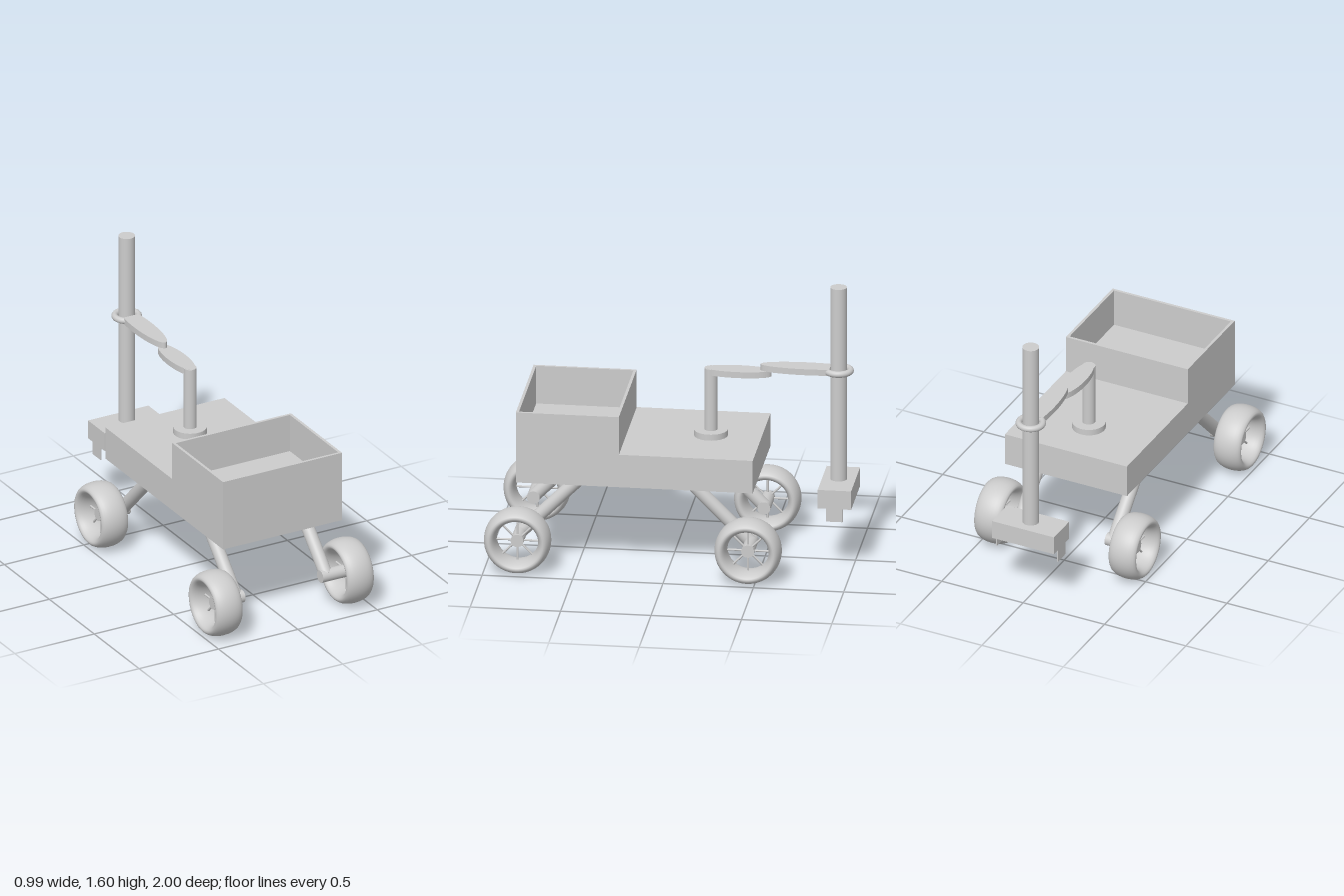
import * as THREE from 'three';

export function createModel() {
  const root = new THREE.Group();
  const grey = new THREE.MeshStandardMaterial({ color: 0xcccccc });
  grey.name = 'light grey';

  const add = (parent, name, geometry, x = 0, y = 0, z = 0) => {
    const mesh = new THREE.Mesh(geometry, grey);
    mesh.name = name;
    mesh.position.set(x, y, z);
    parent.add(mesh);
    return mesh;
  };
  // Box given by its limits on each axis
  const box = (parent, name, x0, x1, y0, y1, z0, z1) => add(parent, name,
    new THREE.BoxGeometry(x1 - x0, y1 - y0, z1 - z0), (x0 + x1) / 2, (y0 + y1) / 2, (z0 + z1) / 2);
  // Upright cylinder given by its bottom and top
  const post = (parent, name, r, y0, y1, z) => add(parent, name,
    new THREE.CylinderGeometry(r, r, y1 - y0, 40), 0, (y0 + y1) / 2, z);

  // Chassis with an open cargo bin at the front
  const W = 0.375, wall = 0.016;
  box(root, 'chassis', -W, W, 0.51, 0.70, -0.48, 0.83);
  const bin = new THREE.Group();
  bin.name = 'cargoBin';
  root.add(bin);
  const rect = (P, x, z0, z1) => {
    const p = new P();
    p.moveTo(-x, -z1);
    p.lineTo(x, -z1);
    p.lineTo(x, -z0);
    p.lineTo(-x, -z0);
    p.closePath();
    return p;
  };
  const rim = rect(THREE.Shape, W, 0.26, 0.83);
  rim.holes.push(rect(THREE.Path, W - wall, 0.26 + wall, 0.83 - wall));
  const rimGeo = new THREE.ExtrudeGeometry(rim, { depth: 0.22, bevelEnabled: false });
  rimGeo.rotateX(-Math.PI / 2);
  add(bin, 'binWalls', rimGeo, 0, 0.70, 0);

  // Wheels, axles and slanting legs
  const tyreGeo = new THREE.TorusGeometry(0.15, 0.035, 24, 64);
  tyreGeo.scale(1, 1, 0.083 / 0.035);
  tyreGeo.rotateY(Math.PI / 2);
  const axleGeo = new THREE.CylinderGeometry(0.036, 0.036, 0.19, 32);
  axleGeo.rotateZ(Math.PI / 2);
  const spokeGeo = new THREE.CylinderGeometry(0.006, 0.006, 0.1, 10);
  spokeGeo.translate(0, 0.075, 0);
  const legLength = 0.5;
  const legGeo = new THREE.CylinderGeometry(0.037, 0.037, legLength, 32);
  legGeo.translate(0, legLength / 2, 0);

  for (const side of [-1, 1]) {
    for (const [end, z, lean] of [['front', 0.815, -1], ['rear', -0.46, 1]]) {
      const wheel = new THREE.Group();
      wheel.name = end + (side > 0 ? 'LeftWheel' : 'RightWheel');
      wheel.position.set(side * 0.413, 0.19, z);
      root.add(wheel);
      add(wheel, 'tyre', tyreGeo);
      add(wheel, 'axle', axleGeo, -side * 0.073);
      for (let i = 0; i < 8; i++) {
        add(wheel, 'spoke', spokeGeo).rotation.x = i * Math.PI / 4;
      }
      const leg = add(root, end + 'Leg', legGeo, side * 0.283, 0.19, z);
      leg.rotation.x = lean * Math.PI / 4;
    }
  }

  // Arm: turntable, post and two flat oval links
  const arm = new THREE.Group();
  arm.name = 'arm';
  root.add(arm);
  post(arm, 'turntable', 0.093, 0.70, 0.735, -0.2);
  post(arm, 'armPost', 0.036, 0.735, 1.094, -0.2);
  // Oval plate, cut off where it reaches the far limit
  const link = (name, y, zMid, half, zCut) => {
    const shape = new THREE.Shape();
    for (let i = 0; i < 64; i++) {
      const a = i / 64 * Math.PI * 2;
      const px = 0.055 * Math.cos(a);
      const py = Math.min(-zMid + half * Math.sin(a), -zCut);
      i ? shape.lineTo(px, py) : shape.moveTo(px, py);
    }
    shape.closePath();
    const geo = new THREE.ExtrudeGeometry(shape, { depth: 0.035, bevelEnabled: false });
    geo.rotateX(-Math.PI / 2);
    add(arm, name, geo, 0, y, 0);
  };
  link('lowerLink', 1.06, -0.35, 0.185, -0.54);
  link('upperLink', 1.095, -0.73, 0.255, -0.86);

  // Upright column held by a ring, with a tool head below
  const Z = -0.906;
  const ringGeo = new THREE.TorusGeometry(0.066, 0.018, 16, 48);
  ringGeo.rotateX(Math.PI / 2);
  add(arm, 'gripRing', ringGeo, 0, 1.112, Z);
  post(root, 'column', 0.046, 0.45, 1.6, Z);
  const head = new THREE.Group();
  head.name = 'toolHead';
  root.add(head);
  box(head, 'headBlock', -0.19, 0.19, 0.37, 0.478, -1, -0.815);
  for (const side of [-1, 1]) {
    box(head, 'prong', side * 0.187 - 0.003, side * 0.187 + 0.003, 0.295, 0.372, -0.953, -0.86);
  }
  return root;
}
